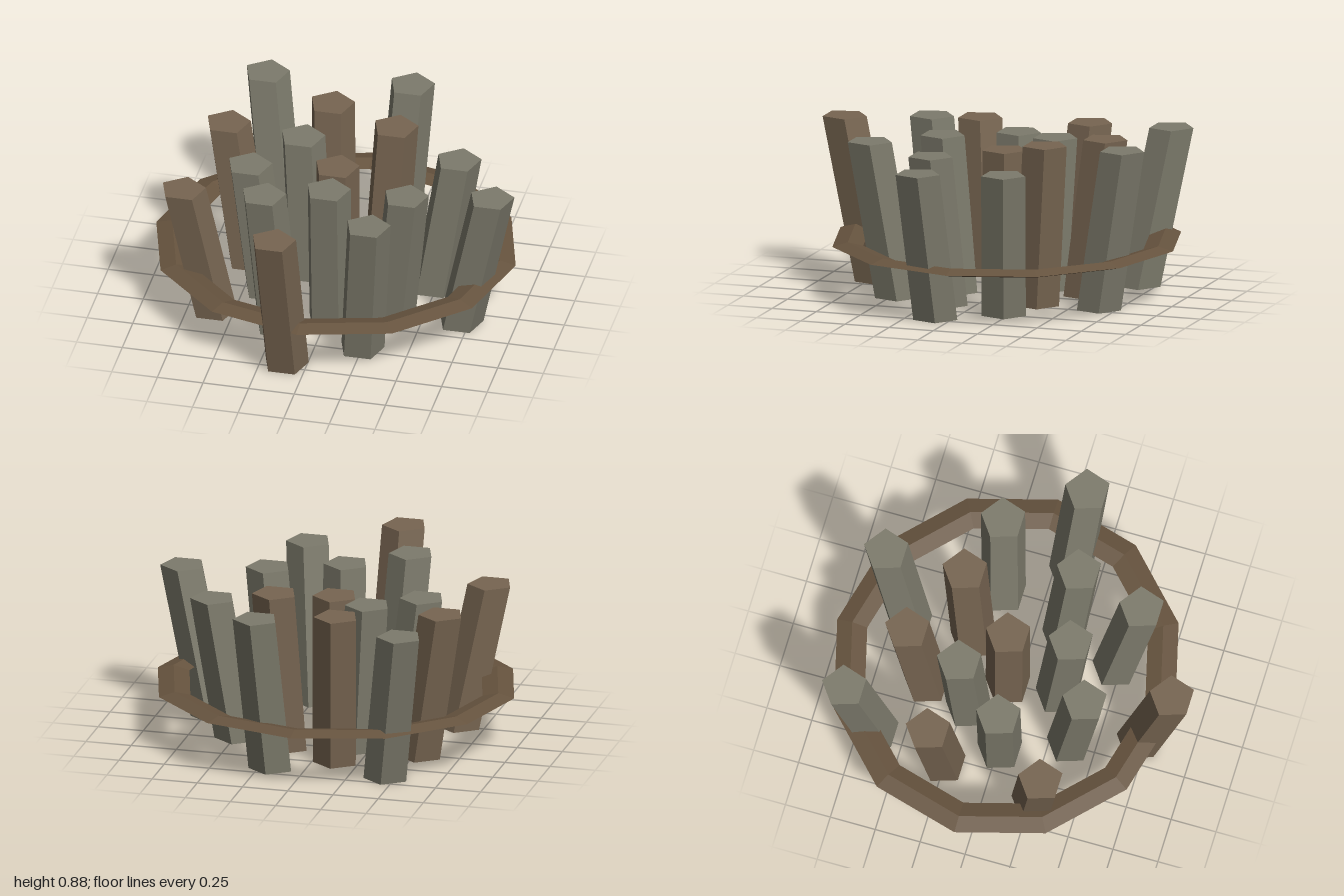
import * as THREE from 'three';

const CENTRE = { x: -0.01, z: -0.06 };
const LEAN = 0.2; // share of the distance to the centre that each foot is pulled in

const stone = new THREE.MeshStandardMaterial({ color: 0x7d7b6c, flatShading: true });
const wood = new THREE.MeshStandardMaterial({ color: 0x776551, flatShading: true });
const band = new THREE.MeshStandardMaterial({ color: 0x67543f, flatShading: true });

// Top centre x, z, height and material of every column
const columns = [
  [-0.01, -0.05, 0.79, wood],
  [-0.155, -0.57, 0.855, wood],
  [-0.565, -0.80, 0.855, stone],
  [0.23, -0.80, 0.885, stone],
  [0.24, -0.365, 0.885, wood],
  [0.61, -0.26, 0.79, stone],
  [0.88, 0.13, 0.825, stone],
  [-0.245, -0.255, 0.825, stone],
  [-0.665, -0.305, 0.825, wood],
  [-0.47, 0.03, 0.79, stone],
  [-0.76, 0.35, 0.79, wood],
  [0.43, 0.215, 0.825, stone],
  [0.02, 0.29, 0.855, stone],
  [-0.295, 0.46, 0.885, stone],
  [0.31, 0.60, 0.855, stone],
  [-0.14, 0.90, 0.885, wood],
];

// Five-sided prism with level ends, sheared so that it leans outward
function leaningColumn(x, z, height, material) {
  const geometry = new THREE.CylinderGeometry(0.124, 0.124, height, 5, 1, false, Math.PI);
  geometry.translate(0, height / 2, 0);
  const dx = (x - CENTRE.x) * LEAN;
  const dz = (z - CENTRE.z) * LEAN;
  const shear = new THREE.Matrix4().set(
    1, dx / height, 0, x - dx,
    0, 1, 0, 0,
    0, dz / height, 1, z - dz,
    0, 0, 0, 1
  );
  geometry.applyMatrix4(shear);
  geometry.computeVertexNormals();
  return new THREE.Mesh(geometry, material);
}

export function createModel() {
  const model = new THREE.Group();
  model.name = 'columnCluster';

  // Columns
  const cluster = new THREE.Group();
  cluster.name = 'columns';
  columns.forEach((spec, i) => {
    const column = leaningColumn(...spec);
    column.name = `column${i + 1}`;
    cluster.add(column);
  });
  model.add(cluster);

  // Flattened twelve-sided ring around the columns
  const ringGeometry = new THREE.TorusGeometry(0.8975, 0.0875, 4, 12);
  ringGeometry.rotateX(Math.PI / 2);
  ringGeometry.scale(1, 0.25, 0.955);
  ringGeometry.computeVertexNormals();
  const ring = new THREE.Mesh(ringGeometry, band);
  ring.name = 'ring';
  ring.position.set(-0.015, 0.298, -0.06);
  model.add(ring);

  return model;
}
